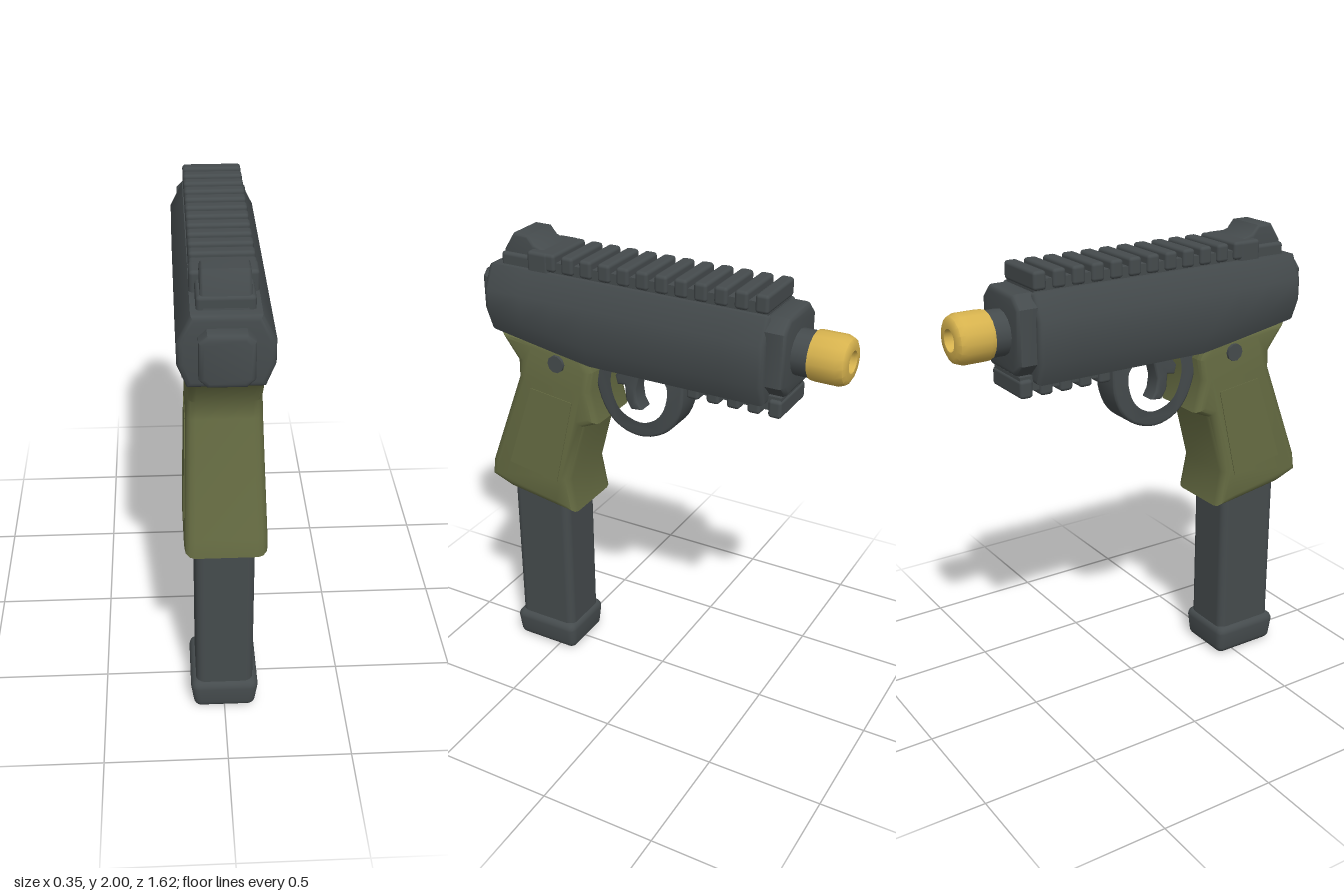
import * as THREE from 'three';
import { toCreasedNormals } from 'three/addons/utils/BufferGeometryUtils.js';
import { RoundedBoxGeometry } from 'three/addons/geometries/RoundedBoxGeometry.js';

const paint = (name, color) => {
  const m = new THREE.MeshStandardMaterial({ color });
  m.name = name;
  return m;
};
const vecs = (pts) => pts.map(([a, b]) => new THREE.Vector2(a, b));
const smoothPath = (pts, n = 28) => new THREE.SplineCurve(vecs(pts)).getPoints(n);

// Bevelled extrusion centred on its own depth; the outline keeps its size.
function extrude(outline, depth, bevel, { hole, steps = 1 } = {}) {
  const shape = new THREE.Shape(outline);
  if (hole) shape.holes.push(new THREE.Path(hole));
  const core = depth - 2 * bevel;
  const g = new THREE.ExtrudeGeometry(shape, {
    depth: core, steps, bevelEnabled: bevel > 0, bevelThickness: bevel,
    bevelSize: bevel, bevelOffset: -bevel, bevelSegments: 3,
  });
  return g.translate(0, 0, -core / 2);
}
// Outline given as (z, y), thickness across x.
const sideways = (outline, width, bevel, opts) =>
  extrude(outline, width, bevel, opts).rotateY(-Math.PI / 2);
const crease = (g) => toCreasedNormals(g, 0.7);

// Rectangle with cut corners, given as half width and y range.
const cutRect = (w, y0, y1, c) => vecs([
  [-w + c, y0], [w - c, y0], [w, y0 + c], [w, y1 - c],
  [w - c, y1], [-w + c, y1], [-w, y1 - c], [-w, y0 + c],
]);

// Moves every vertex by a rule.
function bend(g, rule) {
  const p = g.attributes.position, v = new THREE.Vector3();
  for (let i = 0; i < p.count; i++) {
    rule(v.fromBufferAttribute(p, i));
    p.setXYZ(i, v.x, v.y, v.z);
  }
  return g;
}

export function createModel() {
  const model = new THREE.Group();
  const dark = paint('charcoal', 0x454b4d);
  const green = paint('olive', 0x656b42);
  const gold = paint('brass', 0xd6b24e);
  const add = (name, geometry, material, x = 0, y = 0, z = 0, parent = model) => {
    const mesh = new THREE.Mesh(geometry, material);
    mesh.name = name;
    mesh.position.set(x, y, z);
    parent.add(mesh);
    return mesh;
  };

  // Receiver: faceted section whose underside rises toward the back
  const section = vecs([[-0.14, 1.51], [0.14, 1.51], [0.175, 1.6], [0.175, 1.77],
    [0.125, 1.87], [-0.125, 1.87], [-0.175, 1.77], [-0.175, 1.6]]);
  const body = extrude(section, 1.27, 0.022, { steps: 8 }).translate(0, 0, 0.115);
  bend(body, (v) => {
    if (v.y < 1.66) v.y += Math.max(0, v.z - 0.28) * 0.17;
  });
  add('receiver', crease(body), dark);
  add('rearCap', crease(extrude(cutRect(0.1, 1.62, 1.825, 0.03), 0.1, 0.02)), dark, 0, 0, 0.76);
  add('frontCollar', crease(extrude(cutRect(0.148, 1.55, 1.87, 0.05), 0.1, 0.02)), dark, 0, 0, -0.545);

  // Rails: a base strip with evenly spaced teeth
  const rail = (name, count, z0, z1, baseY, toothY, width) => {
    const group = new THREE.Group();
    group.name = name;
    model.add(group);
    const length = z1 - z0;
    const tooth = 0.056;
    const pitch = (length - tooth) / (count - 1);
    add('railBase', new THREE.BoxGeometry(width - 0.03, 0.06, length - 0.01), dark,
      0, baseY, (z0 + z1) / 2, group);
    const geometry = new RoundedBoxGeometry(width, 0.075, tooth, 2, 0.014);
    for (let i = 0; i < count; i++) {
      add('railTooth', geometry, dark, 0, toothY, z0 + tooth / 2 + i * pitch, group);
    }
  };
  rail('topRail', 12, -0.51, 0.485, 1.885, 1.912, 0.245);
  rail('lowerRail', 5, -0.58, -0.17, 1.515, 1.497, 0.24);

  // Rear sight: wide foot with a narrower raised hump
  add('rearSight', crease(sideways(vecs([[0.705, 1.85], [0.47, 1.85], [0.47, 1.94],
    [0.545, 1.965], [0.575, 2], [0.645, 2], [0.69, 1.93]]), 0.18, 0.012)), dark);
  add('rearSightFoot', new RoundedBoxGeometry(0.25, 0.1, 0.1, 2, 0.015), dark, 0, 1.9, 0.51);
  add('rearSightBase', new RoundedBoxGeometry(0.21, 0.08, 0.2, 2, 0.015), dark, 0, 1.88, 0.6);

  // Barrel and hollow muzzle tip
  add('barrel', new THREE.CylinderGeometry(0.092, 0.092, 0.14, 16).rotateX(-Math.PI / 2), dark, 0, 1.705, -0.61);
  const tip = new THREE.LatheGeometry(vecs([[0, 0], [0.098, 0], [0.1, 0.02], [0.1, 0.115],
    [0.09, 0.14], [0.072, 0.15], [0.045, 0.15], [0.042, 0.14], [0.042, 0.07], [0, 0.07]]), 16);
  add('muzzleTip', crease(tip.rotateX(-Math.PI / 2)), gold, 0, 1.705, -0.66);

  // Trigger guard and trigger
  const guard = smoothPath([[0.28, 1.54], [0.28, 1.42], [0.25, 1.32], [0.2, 1.25], [0.13, 1.212],
    [0.05, 1.206], [-0.03, 1.235], [-0.09, 1.29], [-0.123, 1.37], [-0.13, 1.45], [-0.13, 1.54]]);
  const opening = smoothPath([[0.2, 1.52], [0.22, 1.44], [0.205, 1.36], [0.17, 1.3], [0.11, 1.268],
    [0.05, 1.262], [-0.01, 1.29], [-0.05, 1.34], [-0.07, 1.41], [-0.065, 1.47], [-0.02, 1.52]]);
  add('triggerGuard', crease(sideways(guard, 0.14, 0.012, { hole: opening })), dark);
  const trigger = vecs([[0.19, 1.54], [0.17, 1.49], [0.205, 1.445], [0.195, 1.405], [0.16, 1.41],
    [0.155, 1.345], [0.13, 1.305], [0.08, 1.31], [0.1, 1.345], [0.108, 1.4], [0.092, 1.46], [0.07, 1.54]]);
  add('trigger', crease(sideways(trigger, 0.08, 0.01)), dark);

  // Grip: side outline that widens toward the bottom, with a thin panel each side
  const widen = (v) => {
    v.x *= 1 + Math.max(0, 1.5 - v.y) * 0.22;
  };
  const grip = sideways(vecs([[0.71, 1.575], [0.63, 1.46], [0.63, 1.385], [0.79, 0.95], [0.8, 0.87],
    [0.695, 0.832], [0.456, 0.797], [0.358, 0.785], [0.385, 0.945], [0.31, 1.215], [0.24, 1.245],
    [0.276, 1.385], [0.26, 1.475], [0.3, 1.55], [0.55, 1.575]].reverse()), 0.28, 0.035);
  add('grip', crease(bend(grip, widen)), green);
  const panel = vecs([[0.56, 1.35], [0.685, 0.97], [0.44, 0.93], [0.355, 1.325]].reverse());
  for (const side of [-1, 1]) {
    const plate = sideways(panel, 0.008, 0).translate(side * 0.139, 0, 0);
    add('gripPanel', crease(bend(plate, widen)), green);
    add('gripPin', new THREE.CylinderGeometry(0.038, 0.038, 0.03, 10).rotateZ(Math.PI / 2), dark,
      side * 0.138, 1.49, 0.425);
  }

  // Magazine and its foot
  add('magazine', new RoundedBoxGeometry(0.236, 0.86, 0.285, 3, 0.035), dark, 0, 0.5, 0.563);
  const foot = new RoundedBoxGeometry(0.28, 0.14, 0.32, 3, 0.035);
  bend(foot, (v) => {
    if (v.y < -0.03) { v.x *= 0.93; v.z *= 0.97; }
  });
  foot.computeVertexNormals();
  add('magazineFoot', crease(foot), dark, 0, 0.07, 0.565);

  return model;
}
